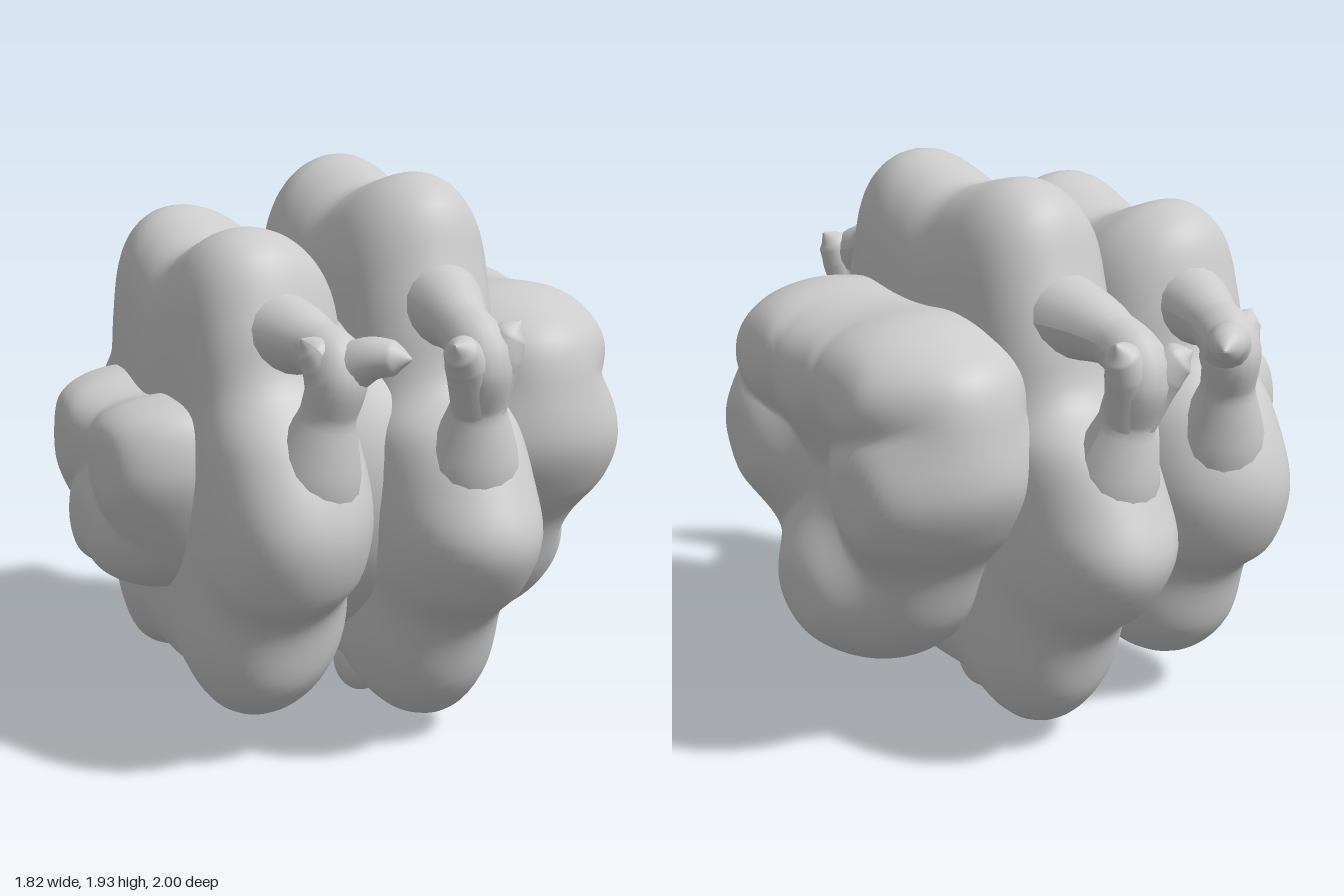
import * as THREE from 'three';

const material = new THREE.MeshStandardMaterial({ color: 0xcccccc });

function addMesh(group, name, geometry) {
  const mesh = new THREE.Mesh(geometry, material);
  mesh.name = name;
  group.add(mesh);
  return mesh;
}

// Lobed wheel lying in the yz plane and rounded across x.
// half: [z, y] outline from top to bottom, mirrored in z.
// bulges: [z, y] spots where the flat side swells; dent: depth of the creases between them.
function lobedSlice({ half, x, width, centerY, round, pinch = 0, lean = 0, dent = 0, bulges = [[0, 1]] }) {
  const other = half.slice(1, -1).reverse().map(([z, y]) => [-z, y]);
  const outline = [...half, ...other].reverse()
    .map(([z, y]) => new THREE.Vector3(0, y - centerY, z));
  const curve = new THREE.CatmullRomCurve3(outline, true, 'centripetal');
  const around = 160, across = 64;
  const ring = curve.getSpacedPoints(around).slice(0, around);
  const rMax = Math.max(...ring.map((p) => p.length()));
  const positions = [], index = [];
  for (let i = 0; i <= across; i++) {
    const s = i / across;
    const k = Math.max(Math.sin(s * Math.PI), 0);
    const offset = Math.sign(0.5 - s) * Math.sqrt(Math.max(1 - Math.pow(k, 2 / round), 0));
    const tilt = 1 - lean * offset;
    for (let j = 0; j < around; j++) {
      const p = ring[j];
      const y = centerY + p.y * k * tilt, z = p.z * k * tilt;
      const nearest = Math.min(...bulges.map(([bz, by]) => Math.hypot(z - bz, y - by)));
      const crease = dent * THREE.MathUtils.smoothstep(nearest, 0.1, 0.36);
      const narrow = 1 - pinch * (1 - p.length() / rMax) * k;
      positions.push(x + width * narrow * (1 - crease) * offset, y, z);
      if (i < across) {
        const a = i * around + j, b = i * around + (j + 1) % around;
        index.push(a, b, a + around, b, b + around, a + around);
      }
    }
  }
  const geometry = new THREE.BufferGeometry();
  geometry.setAttribute('position', new THREE.Float32BufferAttribute(positions, 3));
  geometry.setIndex(index);
  geometry.computeVertexNormals();
  return geometry;
}

// Tube whose radius follows a list of values along its path.
function taperedTube(points, radii, side) {
  const curve = new THREE.CatmullRomCurve3(
    points.map(([x, y, z]) => new THREE.Vector3(x, y, z * side)));
  const steps = 40, sides = 18;
  const geometry = new THREE.TubeGeometry(curve, steps, 1, sides, false);
  const pos = geometry.attributes.position;
  const v = new THREE.Vector3();
  for (let i = 0; i <= steps; i++) {
    const center = curve.getPointAt(i / steps);
    const f = curve.getUtoTmapping(i / steps) * (radii.length - 1);
    const n = Math.min(Math.floor(f), radii.length - 2);
    const r = THREE.MathUtils.lerp(radii[n], radii[n + 1], f - n);
    for (let j = 0; j <= sides; j++) {
      const at = i * (sides + 1) + j;
      v.fromBufferAttribute(pos, at).sub(center).multiplyScalar(r).add(center);
      pos.setXYZ(at, v.x, v.y, v.z);
    }
  }
  geometry.computeVertexNormals();
  return geometry;
}

function addEllipsoid(group, name, position, scale) {
  const mesh = addMesh(group, name, new THREE.SphereGeometry(1, 40, 28));
  mesh.position.set(...position);
  mesh.scale.set(...scale);
}

export function createModel() {
  const model = new THREE.Group();
  model.name = 'lobedCluster';

  // Inner body that closes the grooves between the slices
  addEllipsoid(model, 'core', [0, 0.92, 0], [0.6, 0.63, 0.66]);

  // Large central wheel
  addMesh(model, 'mainSlice', lobedSlice({
    x: 0.165, width: 0.285, centerY: 0.97, round: 0.38, pinch: 0.15, lean: -0.03,
    half: [[0, 1.86], [0.15, 1.9], [0.32, 1.93], [0.46, 1.86], [0.54, 1.67], [0.6, 1.48],
      [0.65, 1.28], [0.82, 1.15], [0.93, 0.98], [1, 0.8], [0.9, 0.61], [0.73, 0.46],
      [0.62, 0.2], [0.46, 0.07], [0.22, 0.13], [0, 0.13]],
  }));

  // Slightly smaller wheel beside it
  addMesh(model, 'secondSlice', lobedSlice({
    x: -0.375, width: 0.3, centerY: 0.94, round: 0.38, pinch: 0.15, lean: 0.06,
    half: [[0, 1.69], [0.15, 1.74], [0.3, 1.78], [0.44, 1.72], [0.53, 1.52], [0.59, 1.32],
      [0.75, 1.14], [0.86, 0.87], [0.79, 0.65], [0.65, 0.52], [0.56, 0.27],
      [0.4, 0.15], [0.18, 0.2], [0, 0.2]],
  }));

  // Lobed end on the left: wide upper lobe, two side lobes, one below
  addMesh(model, 'leftEnd', lobedSlice({
    x: 0.56, width: 0.35, centerY: 0.95, round: 0.3, dent: 0.3,
    bulges: [[-0.28, 1.36], [0, 1.34], [0.28, 1.36], [-0.4, 0.99], [0.4, 0.99], [0, 0.53]],
    half: [[0, 1.51], [0.3, 1.53], [0.46, 1.49], [0.62, 1.4], [0.68, 1.2], [0.69, 1.02],
      [0.6, 0.84], [0.48, 0.7], [0.36, 0.46], [0.2, 0.31], [0, 0.25]],
  }));

  // Small lobed end on the right
  addMesh(model, 'rightEnd', lobedSlice({
    x: -0.62, width: 0.295, centerY: 0.92, round: 0.33, dent: 0.25,
    bulges: [[-0.24, 1.04], [0.24, 1.04], [0, 0.74]],
    half: [[0, 1.2], [0.22, 1.24], [0.4, 1.2], [0.46, 1.02], [0.41, 0.84],
      [0.28, 0.63], [0.14, 0.55], [0, 0.58]],
  }));

  // Looped horns with prongs, at the front and back
  for (const side of [1, -1]) {
    const horns = new THREE.Group();
    horns.name = side > 0 ? 'frontHorns' : 'backHorns';
    addMesh(horns, 'mainHorn', taperedTube(
      [[0.17, 0.85, 0.7], [0.165, 1.08, 0.78], [0.155, 1.25, 0.825], [0.14, 1.42, 0.87],
        [0.14, 1.49, 0.74], [0.18, 1.52, 0.5], [0.19, 1.47, 0.3]],
      [0.19, 0.15, 0.09, 0.1, 0.09, 0.15, 0.16], side));
    addMesh(horns, 'mainInnerProng', taperedTube(
      [[0.13, 1.25, 0.84], [0.07, 1.41, 0.9], [0.03, 1.46, 0.93], [0, 1.48, 0.95]],
      [0.07, 0.07, 0.055, 0.004], side));
    addMesh(horns, 'mainOuterProng', taperedTube(
      [[0.17, 1.25, 0.84], [0.2, 1.42, 0.88], [0.23, 1.49, 0.89], [0.26, 1.53, 0.9]],
      [0.07, 0.07, 0.055, 0.004], side));
    addMesh(horns, 'secondHorn', taperedTube(
      [[-0.37, 0.85, 0.6], [-0.35, 1.08, 0.69], [-0.33, 1.25, 0.74], [-0.31, 1.4, 0.77],
        [-0.33, 1.45, 0.66], [-0.38, 1.46, 0.45], [-0.4, 1.42, 0.3]],
      [0.19, 0.15, 0.09, 0.1, 0.09, 0.15, 0.16], side));
    addMesh(horns, 'secondInnerProng', taperedTube(
      [[-0.32, 1.36, 0.74], [-0.24, 1.44, 0.84], [-0.18, 1.45, 0.9], [-0.14, 1.45, 0.94]],
      [0.09, 0.07, 0.055, 0.004], side));
    addMesh(horns, 'secondOuterProng', taperedTube(
      [[-0.33, 1.28, 0.75], [-0.36, 1.42, 0.76], [-0.39, 1.47, 0.75], [-0.42, 1.5, 0.74]],
      [0.07, 0.065, 0.05, 0.004], side));
    model.add(horns);
  }

  // Small nubs underneath
  addEllipsoid(model, 'mainNub', [0.14, 0.13, 0], [0.1, 0.13, 0.1]);
  addEllipsoid(model, 'secondNub', [-0.32, 0.2, 0], [0.08, 0.09, 0.1]);

  return model;
}
